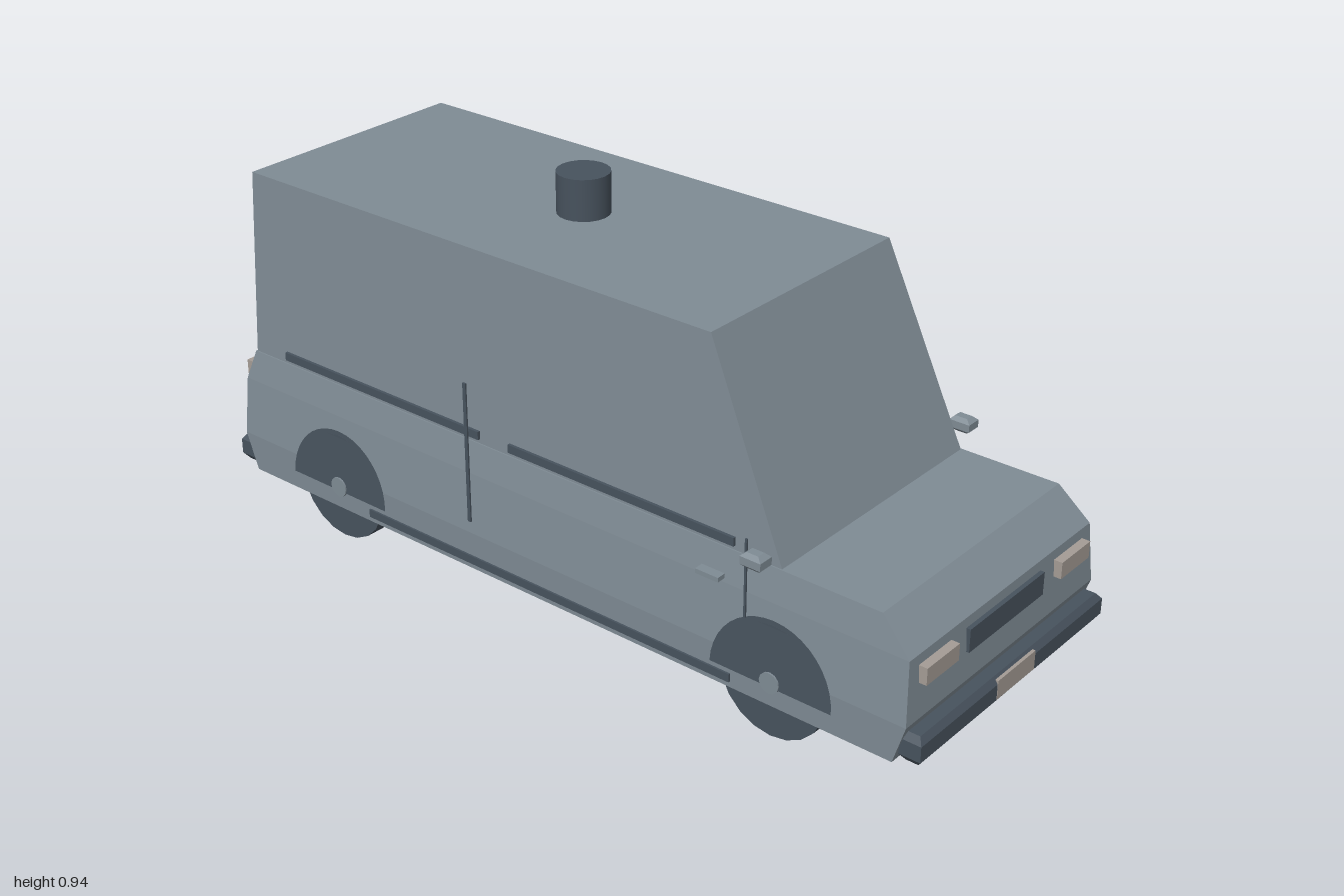
import * as THREE from 'three';

const mat = (name, color) => {
  const m = new THREE.MeshStandardMaterial({ color });
  m.name = name;
  return m;
};

// Flat-faced loft of rectangles stacked upwards: [y, xBack, xFront, halfWidth]
function loft(sections) {
  const pos = [];
  const rings = sections.map(([y, a, b, w]) => [[a, y, w], [b, y, w], [b, y, -w], [a, y, -w]]);
  const quad = (a, b, c, d) => pos.push(...a, ...b, ...c, ...a, ...c, ...d);
  for (let i = 0; i < rings.length - 1; i++) {
    for (let j = 0; j < 4; j++) {
      const k = (j + 1) % 4;
      quad(rings[i][j], rings[i][k], rings[i + 1][k], rings[i + 1][j]);
    }
  }
  quad(...rings[rings.length - 1]);
  quad(...[...rings[0]].reverse());
  const g = new THREE.BufferGeometry();
  g.setAttribute('position', new THREE.Float32BufferAttribute(pos, 3));
  g.computeVertexNormals();
  return g;
}

export function createModel() {
  const van = new THREE.Group();
  van.name = 'van';
  const paint = mat('greyPaint', 0x7f8b94);
  const dark = mat('darkTrim', 0x47525d);
  const lamp = mat('paleLamp', 0xa49c95);

  const add = (name, geo, material, x = 0, y = 0, z = 0) => {
    const m = new THREE.Mesh(geo, material);
    m.name = name;
    m.position.set(x, y, z);
    van.add(m);
    return m;
  };
  // Box given by its minimum and maximum corners
  const box = (name, material, [x0, y0, z0], [x1, y1, z1]) =>
    add(name, new THREE.BoxGeometry(x1 - x0, y1 - y0, z1 - z0), material,
      (x0 + x1) / 2, (y0 + y1) / 2, (z0 + z1) / 2);
  // The same box on both flanks
  const pair = (name, material, [x0, y0, z0], [x1, y1, z1]) => {
    box(name, material, [x0, y0, z0], [x1, y1, z1]);
    box(name, material, [x0, y0, -z1], [x1, y1, -z0]);
  };

  // Lower body and tall cabin
  add('lowerBody', loft([
    [0.075, -0.94, 0.935, 0.357],
    [0.17, -0.97, 0.965, 0.36],
    [0.315, -0.965, 0.955, 0.346],
    [0.39, -0.94, 0.88, 0.333],
  ]), paint);
  add('cabin', loft([
    [0.388, -0.938, 0.635, 0.33],
    [0.847, -0.925, 0.43, 0.311],
  ]), paint);

  // Roof beacon
  add('roofBeacon', new THREE.CylinderGeometry(0.062, 0.062, 0.1, 20), dark, -0.175, 0.895, 0);

  // Wheels, hubs and half-round arches that follow the leaning flank
  const archShape = new THREE.Shape().absarc(0, 0, 0.155, 0, Math.PI, false);
  for (const x of [-0.64, 0.635]) {
    for (const side of [1, -1]) {
      add('wheel', new THREE.CylinderGeometry(0.135, 0.135, 0.08, 20), dark, x, 0.135, side * 0.315)
        .rotation.x = Math.PI / 2;
      add('hub', new THREE.CylinderGeometry(0.025, 0.025, 0.01, 12), paint, x, 0.135, side * 0.361)
        .rotation.x = Math.PI / 2;
      const arch = new THREE.ShapeGeometry(archShape, 10);
      const p = arch.attributes.position;
      for (let i = 0; i < p.count; i++) p.setZ(i, -0.065 * p.getY(i));
      arch.computeVertexNormals();
      add('wheelArch', arch, dark, x, 0.125, side * 0.364).rotation.y = side > 0 ? 0 : Math.PI;
    }
  }

  // Waist mouldings, sills, door seams and handles
  pair('waistMoulding', dark, [-0.83, 0.4, 0.325], [-0.2, 0.42, 0.336]);
  pair('waistMoulding', dark, [-0.11, 0.4, 0.325], [0.515, 0.42, 0.336]);
  pair('sill', dark, [-0.54, 0.09, 0.35], [0.53, 0.11, 0.363]);
  pair('doorSeam', dark, [-0.215, 0.2, 0.359], [-0.206, 0.548, 0.363]);
  pair('frontDoorSeam', dark, [0.564, 0.265, 0.359], [0.569, 0.45, 0.363]);
  box('rearDoorSeam', dark, [-0.972, 0.18, -0.004], [-0.968, 0.63, 0.004]);
  pair('doorHandle', paint, [0.44, 0.323, 0.34], [0.5, 0.334, 0.366]);

  // Bevelled door mirrors
  for (const side of [1, -1]) {
    add('mirror', loft([
      [0.407, 0.59, 0.62, 0.01],
      [0.416, 0.58, 0.632, 0.019],
      [0.434, 0.58, 0.632, 0.019],
      [0.443, 0.59, 0.62, 0.01],
    ]), paint, 0, 0, side * 0.382);
  }

  // Bevelled bumpers
  for (const [name, x] of [['frontBumper', 0.973], ['rearBumper', -0.973]]) {
    add(name, loft([
      [0.084, -0.015, 0.015, 0.342],
      [0.1, -0.026, 0.026, 0.354],
      [0.138, -0.026, 0.026, 0.354],
      [0.153, -0.015, 0.015, 0.342],
    ]), dark, x);
  }

  // Nose and tail details
  box('grille', dark, [0.95, 0.237, -0.143], [0.967, 0.292, 0.143]);
  pair('headlight', lamp, [0.945, 0.252, 0.198], [0.977, 0.292, 0.314]);
  pair('tailLight', lamp, [-0.976, 0.22, 0.235], [-0.945, 0.355, 0.333]);
  box('frontPlate', lamp, [0.992, 0.101, -0.073], [1, 0.147, 0.073]);
  box('rearPlate', lamp, [-1, 0.101, -0.073], [-0.992, 0.147, 0.073]);
  add('exhaust', new THREE.CylinderGeometry(0.012, 0.012, 0.06, 10), lamp, -0.96, 0.085, -0.18)
    .rotation.z = Math.PI / 2;

  return van;
}
